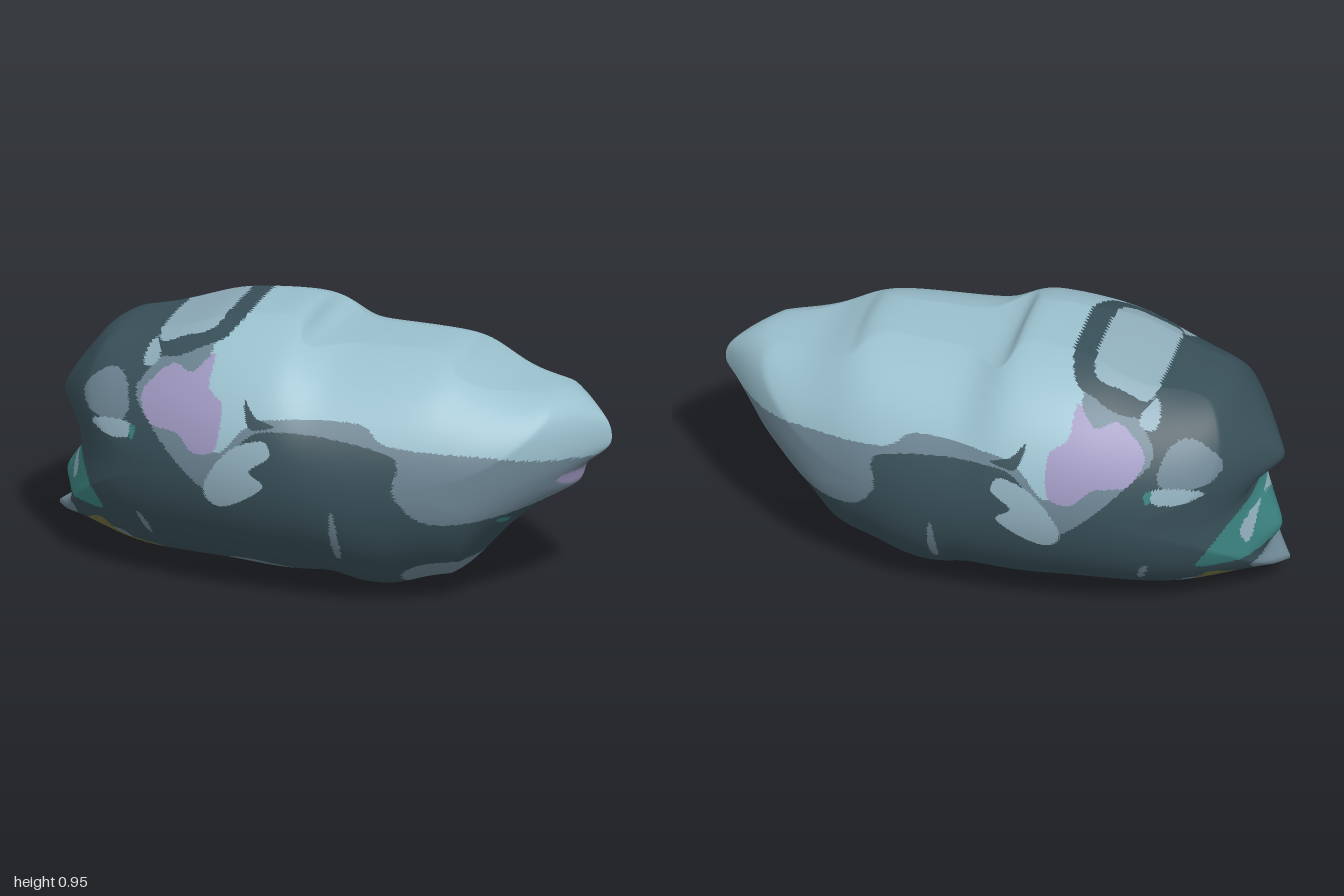
import * as THREE from 'three';

const material = (name, color) => {
  const m = new THREE.MeshStandardMaterial({ color });
  m.name = name;
  return m;
};
const MATERIALS = [
  material('dark slate', 0x384f58), material('light blue', 0x9abfcd), material('grey blue', 0x6c8492),
  material('lilac', 0x9d97bf), material('teal', 0x3b8280), material('olive', 0x6f7040), material('pale blue', 0x90aebc),
];
const [DARK, LIGHT, GREY, LILAC, TEAL, OLIVE, PALE] = MATERIALS.keys();

// Closed smooth curve through x, y pairs
function closedCurve(...v) {
  const pts = [];
  for (let i = 0; i < v.length; i += 2) pts.push(new THREE.Vector3(v[i], v[i + 1], 0));
  return new THREE.CatmullRomCurve3(pts, true, 'catmullrom', 0.45);
}

// Side outline of the body, clockwise from the tail tip
const outline = closedCurve(
  -1, .12, -.93, .17, -.97, .25, -.89, .38, -.89, .46, -.98, .54, -.87, .72, -.77, .82, -.58, .86, -.37, .93,
  -.21, .95, -.08, .95, .01, .88, .42, .88, .53, .83, .65, .78, .86, .75, .98, .66, .995, .57, .91, .49,
  .88, .42, .78, .36, .65, .25, .49, .08, .38, .06, .21, .005, .1, .05, -.09, .025, -.26, .035, -.6, .04, -.85, .095, -.98, .1,
);

// Painted patches in side projection: smooth shapes and wobbly ovals
function patch(paint, curve) {
  const loop = curve.getPoints(120);
  return { paint, loop, box: new THREE.Box3().setFromPoints(loop) };
}
function oval(paint, x, y, rx, ry, tilt = 0) {
  const v = [];
  for (let k = 0; k < 12; k++) {
    const a = (k / 12) * Math.PI * 2, w = 1 + 0.1 * Math.sin(a * 3 + x * 20);
    const u = rx * w * Math.cos(a), s = ry * w * Math.sin(a);
    v.push(x + u * Math.cos(tilt) - s * Math.sin(tilt), y + u * Math.sin(tilt) + s * Math.cos(tilt));
  }
  return patch(paint, closedCurve(...v));
}

function coatPatches() {
  return [
    // upper coat over its grey fringe
    patch(GREY, closedCurve(-.6, .72, -.36, .94, 0, 1.05, 1.1, 1, 1.08, .5, .78, .38, .48, .35, .36, .46, .34, .6,
      -.1, .65, -.24, .5, -.31, .42, -.52, .6)),
    patch(LIGHT, closedCurve(-.3, 1, 0, 1.05, 1.1, 1, 1.05, .56, .87, .55, .66, .59, .33, .63, .22, .69, -.08, .69,
      -.17, .65, -.26, .56, -.35, .65)),
    patch(LILAC, closedCurve(-.58, .69, -.53, .76, -.47, .8, -.4, .79, -.33, .85, -.32, .76, -.26, .71, -.27, .57,
      -.35, .545, -.42, .6, -.53, .61)),
    patch(DARK, closedCurve(-.18, .74, -.13, .69, -.06, .67, -.15, .655)),
    // flank leaf and slivers
    patch(PALE, closedCurve(-.31, .4, -.29, .48, -.21, .58, -.1, .62, -.07, .57, -.14, .51, -.09, .46, -.18, .39, -.26, .36)),
    oval(GREY, .15, .28, .015, .1),
    oval(GREY, -.57, .22, .012, .05, .35),
  ];
}
function headPatches() {
  return [
    // dark arch around the crown patch
    patch(DARK, closedCurve(-.66, .81, -.5, .81, -.38, .86, -.3, .9, -.28, 1, -.66, 1)),
    patch(PALE, closedCurve(-.57, .84, -.46, .87, -.36, .91, -.35, 1, -.57, 1)),
    oval(PALE, -.575, .8, .03, .035, -.4),
    oval(GREY, -.72, .65, .1, .08, .2),
    oval(PALE, -.68, .56, .09, .03, .1),
    oval(TEAL, -.6, .565, .012, .025),
    // chin
    oval(GREY, -.96, .13, .07, .045, .3),
    patch(TEAL, closedCurve(-1, .25, -.95, .35, -.87, .4, -.76, .27, -.76, .22, -.96, .22)),
    oval(PALE, -.89, .32, .018, .045),
    oval(GREY, -.72, .09, .07, .045),
    patch(OLIVE, closedCurve(-.85, .12, -.77, .17, -.7, .11, -.57, .09, -.56, .05, -.83, .06)),
  ];
}
function lowerPatches() {
  return [
    oval(GREY, -.2, .05, .14, .05),
    oval(GREY, .43, .1, .13, .06, .45),
    // small marks near the tip
    oval(LILAC, .88, .46, .03, .028),
    oval(TEAL, .685, .335, .015, .013),
  ];
}

function inside(loop, x, y) {
  let hit = false;
  for (let i = 0, j = loop.length - 1; i < loop.length; j = i++) {
    const a = loop[i], b = loop[j];
    if ((a.y > y) !== (b.y > y) && x < ((b.x - a.x) * (y - a.y)) / (b.y - a.y) + a.x) hit = !hit;
  }
  return hit;
}

// Average each outline point with its neighbours
function soften(points, reach) {
  const n = points.length;
  return points.map((_, i) => {
    const sum = new THREE.Vector3();
    for (let k = -reach; k <= reach; k++) sum.add(points[(i + k + n) % n]);
    return sum.divideScalar(2 * reach + 1);
  });
}

// Smoothed upper (sign 1) or lower (sign -1) limit of the outline as a function of x
function envelope(points, sign) {
  const COUNT = 80;
  let table = Array.from({ length: COUNT + 1 }, (_, k) => {
    const x = (k / COUNT) * 2 - 1;
    return sign * Math.max(...points.filter((p) => Math.abs(p.x - x) < 0.05).map((p) => sign * p.y));
  });
  for (let pass = 0; pass < 6; pass++) {
    table = table.map((y, k) => (y * 2 + table[Math.max(0, k - 1)] + table[Math.min(COUNT, k + 1)]) / 4);
  }
  return (x) => {
    const u = THREE.MathUtils.clamp((x + 1) / 2, 0, 0.9999) * COUNT, k = Math.floor(u);
    return THREE.MathUtils.lerp(table[k], table[k + 1], u - k);
  };
}

export function createModel() {
  const COLS = 330, RINGS = 210, CX = -0.1, CY = 0.48, HALF_DEPTH = 0.515;
  const rim = outline.getSpacedPoints(COLS).slice(0, COLS);
  const soft = soften(rim, 9);
  const top = envelope(rim, 1), bottom = envelope(rim, -1);

  // Half thickness: egg-shaped plan, elliptical sections, closing quickly at the rim
  const thickness = (x, y, r) => {
    const s = x > CX ? (x - CX) / 1.1 : (CX - x) / 0.9;
    const plan = Math.max(0, 1 - s * s) ** (x > CX ? 0.65 : 0.52);
    const t = top(x), b = bottom(x), v = (y - (t + b) / 2) / ((t - b) * 0.51);
    return HALF_DEPTH * plan * Math.min(Math.sqrt(Math.max(0.05, 1 - v * v)), Math.sqrt(1 - r ** 10));
  };

  // Rings run from the front pole over the rim to the back pole
  const pos = [CX, CY, HALF_DEPTH];
  for (let i = 1; i < RINGS; i++) {
    const phi = (i / RINGS) * Math.PI;
    const r = Math.sin(phi), mix = r ** 24;
    for (let j = 0; j < COLS; j++) {
      const x = CX + r * (THREE.MathUtils.lerp(soft[j].x, rim[j].x, mix) - CX);
      const y = CY + r * (THREE.MathUtils.lerp(soft[j].y, rim[j].y, mix) - CY);
      pos.push(x, y, Math.sign(Math.cos(phi)) * thickness(x, y, r));
    }
  }
  pos.push(CX, CY, -HALF_DEPTH);
  const last = pos.length / 3 - 1;
  const at = (i, j) => (i === 0 ? 0 : i === RINGS ? last : 1 + (i - 1) * COLS + (j % COLS));

  // Sort the faces by paint; later patches cover earlier ones
  const patches = [...coatPatches(), ...headPatches(), ...lowerPatches()].reverse();
  const faces = MATERIALS.map(() => []);
  const face = (a, b, c) => {
    const p = new THREE.Vector3();
    for (const k of [a, b, c]) p.add(new THREE.Vector3(pos[k * 3], pos[k * 3 + 1], 0));
    p.divideScalar(3);
    const cover = patches.find(({ loop, box }) => box.containsPoint(p) && inside(loop, p.x, p.y));
    faces[cover ? cover.paint : DARK].push(a, b, c);
  };
  for (let i = 0; i < RINGS; i++) {
    for (let j = 0; j < COLS; j++) {
      const a = at(i, j), b = at(i, j + 1), c = at(i + 1, j), d = at(i + 1, j + 1);
      if (i > 0) face(a, b, c);
      if (i < RINGS - 1) face(b, d, c);
    }
  }

  const geometry = new THREE.BufferGeometry();
  geometry.setAttribute('position', new THREE.Float32BufferAttribute(pos, 3));
  geometry.setIndex(faces.flat());
  let start = 0;
  faces.forEach((list, k) => {
    geometry.addGroup(start, list.length, k);
    start += list.length;
  });
  geometry.computeVertexNormals();

  const body = new THREE.Mesh(geometry, MATERIALS);
  body.name = 'body';
  const model = new THREE.Group();
  model.name = 'inflatedBody';
  model.add(body);
  return model;
}
